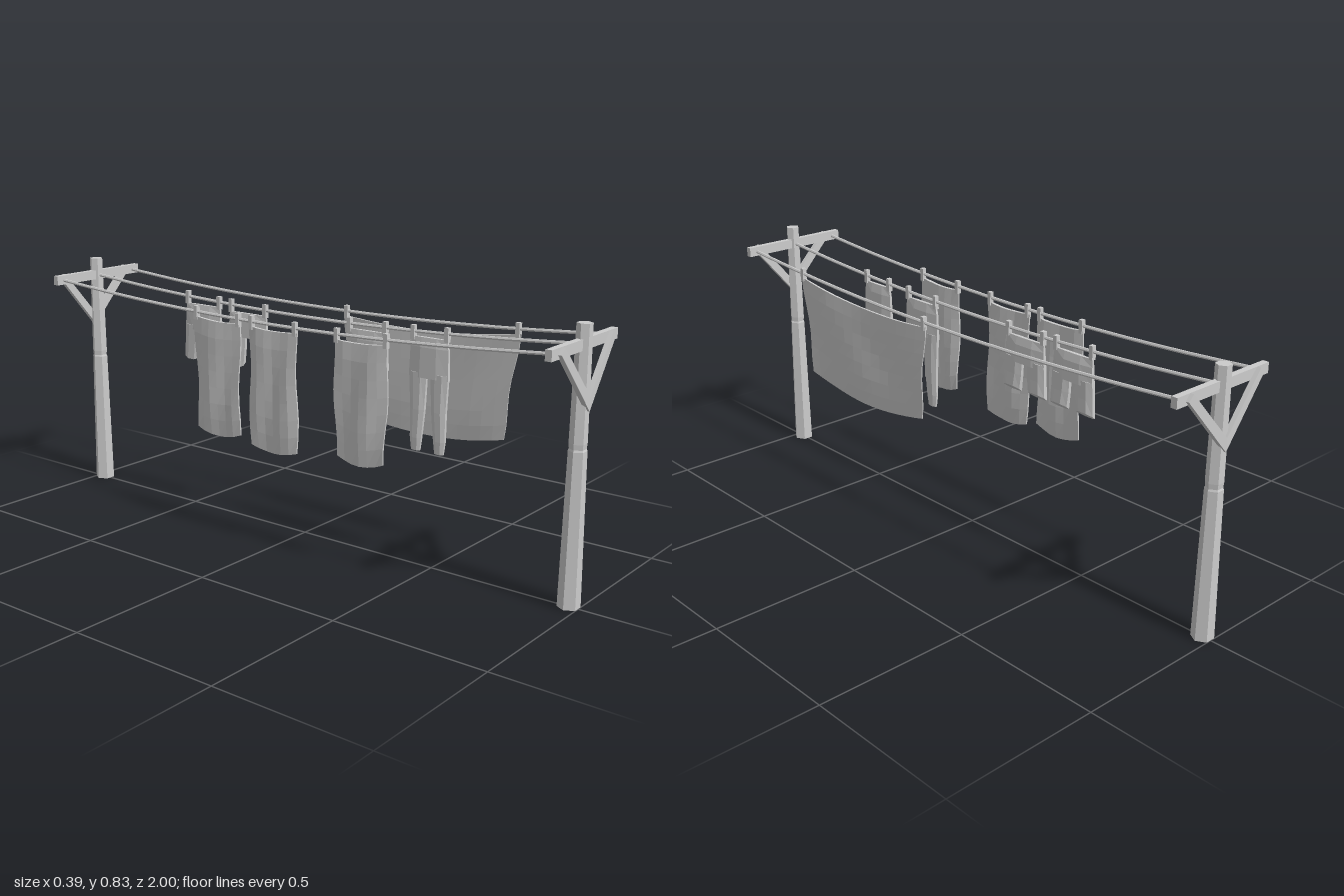
import * as THREE from 'three';

const mat = new THREE.MeshStandardMaterial({ color: 0xcccccc, flatShading: true, side: THREE.DoubleSide });
const lineY = z => 0.729 + 0.041 * (z / 0.96) ** 2;

function add(group, name, geometry) {
  geometry.computeVertexNormals();
  const mesh = new THREE.Mesh(geometry, mat);
  mesh.name = name;
  group.add(mesh);
  return mesh;
}

// Move every vertex of a geometry by a rule
function warp(geometry, rule) {
  const p = geometry.attributes.position, v = new THREE.Vector3();
  for (let i = 0; i < p.count; i++) {
    rule(v.fromBufferAttribute(p, i));
    p.setXYZ(i, v.x, v.y, v.z);
  }
  return geometry;
}

// One end of the frame: six-sided post, crossbeam and two braces
function endFrame() {
  const g = new THREE.Group();
  const profile = [[0, 0], [0.034, 0], [0.027, 0.468], [0.0245, 0.474], [0.0262, 0.49], [0.023, 0.83], [0, 0.83]];
  add(g, 'post', new THREE.LatheGeometry(profile.map(p => new THREE.Vector2(...p)), 6, Math.PI / 6))
    .position.z = 0.97;
  add(g, 'crossbeam', new THREE.BoxGeometry(0.39, 0.032, 0.02)).position.set(0, 0.771, 0.967);
  for (const s of [-1, 1]) {
    const outline = [[0, 0.585], [0.16, 0.768], [0.143, 0.787], [0, 0.627]];
    const shape = new THREE.Shape(outline.map(([x, y]) => new THREE.Vector2(s * x, y)));
    const geo = new THREE.ExtrudeGeometry(shape, { depth: 0.015, bevelEnabled: false });
    warp(geo, v => { v.z += 0.984 - 0.07 * Math.abs(v.x); });
    add(g, s > 0 ? 'leftBrace' : 'rightBrace', geo);
  }
  return g;
}

// Sagging line along z
function clothesLine(group, x) {
  const pts = [];
  for (let i = 0; i <= 8; i++) {
    const z = -0.967 + i * 0.24175;
    pts.push(new THREE.Vector3(x, lineY(z), z));
  }
  add(group, 'clothesLine', new THREE.TubeGeometry(new THREE.CatmullRomCurve3(pts), 16, 0.0055, 6));
}

function peg(group, x, z) {
  add(group, 'peg', new THREE.BoxGeometry(0.015, 0.044, 0.014)).position.set(x, lineY(z) - 0.003, z);
}

// Thin hanging cloth; top and bottom are [z low, z high], yBottom at its middle
function cloth(group, name, x, top, bottom, yBottom, sag, lift, thick, phase) {
  const nz = Math.max(6, Math.round((top[1] - top[0]) * 22));
  const geo = new THREE.BoxGeometry(1, 1, 1, 1, 7, nz);
  warp(geo, p => {
    const u = p.z + 0.5, v = 0.5 - p.y, mid = 4 * u * (1 - u);
    const z = THREE.MathUtils.lerp(THREE.MathUtils.lerp(top[0], top[1], u),
      THREE.MathUtils.lerp(bottom[0], bottom[1], u), v);
    const yTop = lineY(THREE.MathUtils.lerp(top[0], top[1], u)) - 0.014 - sag * mid;
    const yLow = yBottom + lift * (1 - mid);
    const edge = Math.min(1, 0.3 + 3 * Math.min(u, 1 - u, v + 0.1, 1 - v));
    const ripple = 0.0045 * Math.sin(u * 9 + v * 3 + phase) * (0.25 + 0.75 * Math.sin(Math.PI * Math.min(1, v * 0.9)));
    p.set(x + p.x * thick * edge + ripple, THREE.MathUtils.lerp(yTop, yLow, v),
      z + 0.004 * Math.sin(v * 8 + phase) * (2 * u - 1));
  });
  add(group, name, geo);
  peg(group, x, top[0] + 0.008);
  peg(group, x, top[1] - 0.008);
}

// Loft of eight-sided oval rings [y, z centre, half width, half thickness, slant], closed at both ends
function loft(group, name, rings) {
  const n = 8, pos = [], idx = [];
  for (const [y, zc, w, t, slant = 0] of rings) {
    for (let i = 0; i < n; i++) {
      const a = (i + 0.5) / n * Math.PI * 2, dx = t * Math.cos(a);
      pos.push(dx, y + slant * dx, zc + w * Math.sin(a) / Math.cos(Math.PI / n));
    }
  }
  for (let r = 0; r < rings.length - 1; r++) {
    for (let i = 0; i < n; i++) {
      const a = r * n + i, b = r * n + (i + 1) % n;
      idx.push(a, b, a + n, b, b + n, a + n);
    }
  }
  const last = (rings.length - 1) * n;
  for (let i = 1; i < n - 1; i++) idx.push(0, i + 1, i, last, last + i, last + i + 1);
  const geo = new THREE.BufferGeometry();
  geo.setAttribute('position', new THREE.Float32BufferAttribute(pos, 3));
  geo.setIndex(idx);
  add(group, name, geo);
}

// Shorts with open-looking slanted cuffs
function shorts(group, z, w) {
  const top = lineY(z) - 0.02, legW = w * 0.43;
  loft(group, 'shortsBody', [[top, z, w * 0.92, 0.006], [top - 0.025, z, w * 0.93, 0.012],
    [0.63, z, w * 0.98, 0.015]]);
  for (const s of [-1, 1]) {
    const c = z + s * w * 0.55;
    loft(group, 'shortsLeg', [[0.645, c, legW, 0.013], [0.59, c + s * w * 0.03, legW, 0.014],
      [0.537, c + s * w * 0.08, legW * 0.95, 0.016, 0.8]]);
    peg(group, 0, z + s * w * 0.86);
  }
}

// Long trousers with tapering legs
function trousers(group, z, w, yLow) {
  const top = lineY(z) - 0.016;
  loft(group, 'trousersBody', [[top, z, w * 0.9, 0.006], [top - 0.03, z, w * 0.95, 0.011],
    [0.6, z, w, 0.013]]);
  for (const s of [-1, 1]) {
    const c = z + s * w * 0.54;
    loft(group, 'trousersLeg', [[0.615, c, w * 0.44, 0.012], [0.5, c, w * 0.36, 0.013],
      [yLow + 0.04, c + s * w * 0.06, w * 0.29, 0.011], [yLow, c + s * w * 0.06, w * 0.22, 0.008]]);
    peg(group, 0, z + s * w * 0.85);
  }
}

export function createModel() {
  const model = new THREE.Group();
  model.name = 'washingLine';

  const front = endFrame();
  front.name = 'frontFrame';
  const back = endFrame();
  back.name = 'backFrame';
  back.rotation.y = Math.PI;
  model.add(front, back);

  for (const x of [-0.165, 0, 0.165]) clothesLine(model, x);

  // Left line: one wide sheet
  cloth(model, 'sheet', 0.165, [0.035, 0.685], [0.06, 0.64], 0.366, 0.018, 0.035, 0.012, 0.6);

  // Right line: three towels
  cloth(model, 'towel', -0.165, [-0.325, -0.13], [-0.315, -0.135], 0.33, 0.006, 0.02, 0.018, 0);
  cloth(model, 'towel', -0.165, [-0.09, 0.1], [-0.085, 0.1], 0.315, 0.006, 0.015, 0.018, 2);
  cloth(model, 'towel', -0.165, [0.245, 0.44], [0.255, 0.43], 0.338, 0.006, 0.02, 0.018, 4);

  // Middle line: shorts and trousers
  shorts(model, -0.24, 0.086);
  shorts(model, -0.44, 0.083);
  trousers(model, 0.245, 0.08, 0.36);
  trousers(model, 0.475, 0.07, 0.37);
  return model;
}
